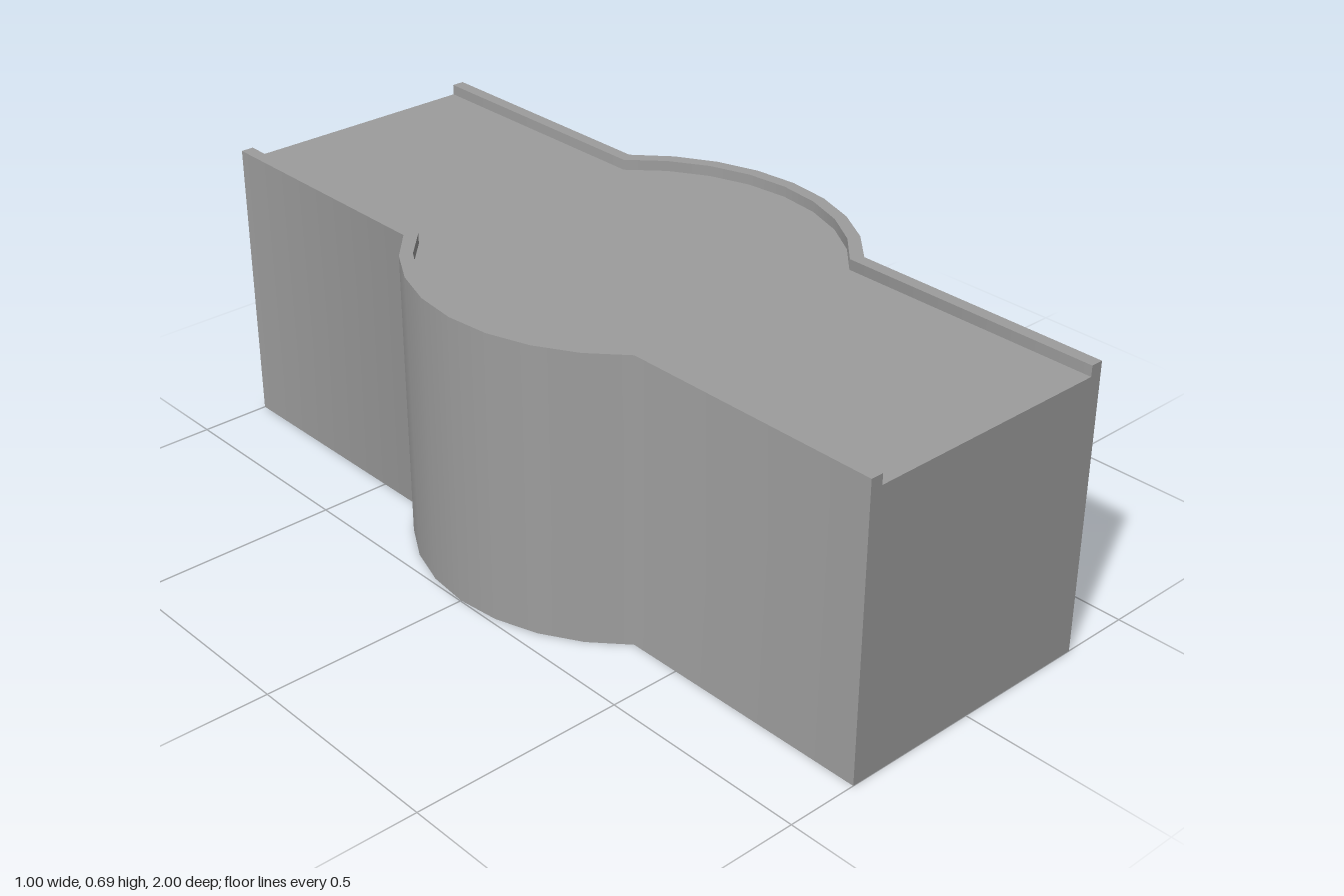
import * as THREE from 'three';

const TOP = 0.69, FLOOR = 0.665, HALF_LENGTH = 1;
const OUTER = { half: 0.33, radius: 0.498 };
const INNER = { half: 0.30, radius: 0.468 };
const ARC_STEPS = 8;

const material = new THREE.MeshStandardMaterial({ color: 0x9d9d9d, side: THREE.DoubleSide });

// Plan outline [x, z] of one side: straight, round bulge, straight
function sideOutline({ half, radius }, side) {
  const limit = Math.acos(half / radius);
  const points = [[half, -HALF_LENGTH]];
  for (let i = 0; i <= ARC_STEPS; i++) {
    const a = limit * (2 * i / ARC_STEPS - 1);
    points.push([radius * Math.cos(a), radius * Math.sin(a)]);
  }
  points.push([half, HALF_LENGTH]);
  return side > 0 ? points : points.map(([x, z]) => [-x, z]).reverse();
}

// Ribbon of quads between two outlines at given heights; each normal is
// the plain average of the two neighbouring quads, whatever their size
function ribbon(a, ya, b, yb) {
  const low = a.map(([x, z]) => new THREE.Vector3(x, ya, z));
  const high = b.map(([x, z]) => new THREE.Vector3(x, yb, z));
  const faceNormals = low.slice(1).map((next, i) => {
    const across = high[i].clone().sub(low[i]);
    return across.cross(next.clone().sub(low[i])).normalize();
  });
  const positions = [], normals = [], index = [];
  low.forEach((p, i) => {
    const before = faceNormals[Math.max(i - 1, 0)];
    const after = faceNormals[Math.min(i, faceNormals.length - 1)];
    const n = before.clone().add(after).normalize();
    positions.push(...p, ...high[i]);
    normals.push(...n, ...n);
    if (i > 0) {
      const k = 2 * (i - 1);
      index.push(k, k + 1, k + 2, k + 1, k + 3, k + 2);
    }
  });
  const geometry = new THREE.BufferGeometry();
  geometry.setAttribute('position', new THREE.Float32BufferAttribute(positions, 3));
  geometry.setAttribute('normal', new THREE.Float32BufferAttribute(normals, 3));
  geometry.setIndex(index);
  return geometry;
}

function flatShape(points) {
  return new THREE.ShapeGeometry(new THREE.Shape(points.map(([x, y]) => new THREE.Vector2(x, y))));
}

export function createModel() {
  const model = new THREE.Group();
  model.name = 'channelWithRoundBay';
  const add = (name, geometry) => {
    const mesh = new THREE.Mesh(geometry, material);
    mesh.name = name;
    model.add(mesh);
  };

  // Side walls with a narrow raised rim
  for (const side of [1, -1]) {
    const label = side > 0 ? 'left' : 'right';
    const outer = sideOutline(OUTER, side), inner = sideOutline(INNER, side);
    add(label + 'Wall', ribbon(outer, 0, outer, TOP));
    add(label + 'RimTop', ribbon(outer, TOP, inner, TOP));
    add(label + 'RimInside', ribbon(inner, TOP, inner, FLOOR));
  }

  // Sunken deck between the rims; the underside stays open
  const deck = flatShape([...sideOutline(INNER, 1), ...sideOutline(INNER, -1)]);
  add('deck', deck.rotateX(-Math.PI / 2).translate(0, FLOOR, 0));

  // End walls, notched at the deck
  const endPoints = [
    [-OUTER.half, 0], [OUTER.half, 0], [OUTER.half, TOP], [INNER.half, TOP],
    [INNER.half, FLOOR], [-INNER.half, FLOOR], [-INNER.half, TOP], [-OUTER.half, TOP],
  ];
  add('frontEnd', flatShape(endPoints).translate(0, 0, HALF_LENGTH));
  add('backEnd', flatShape(endPoints).rotateY(Math.PI).translate(0, 0, -HALF_LENGTH));

  return model;
}
